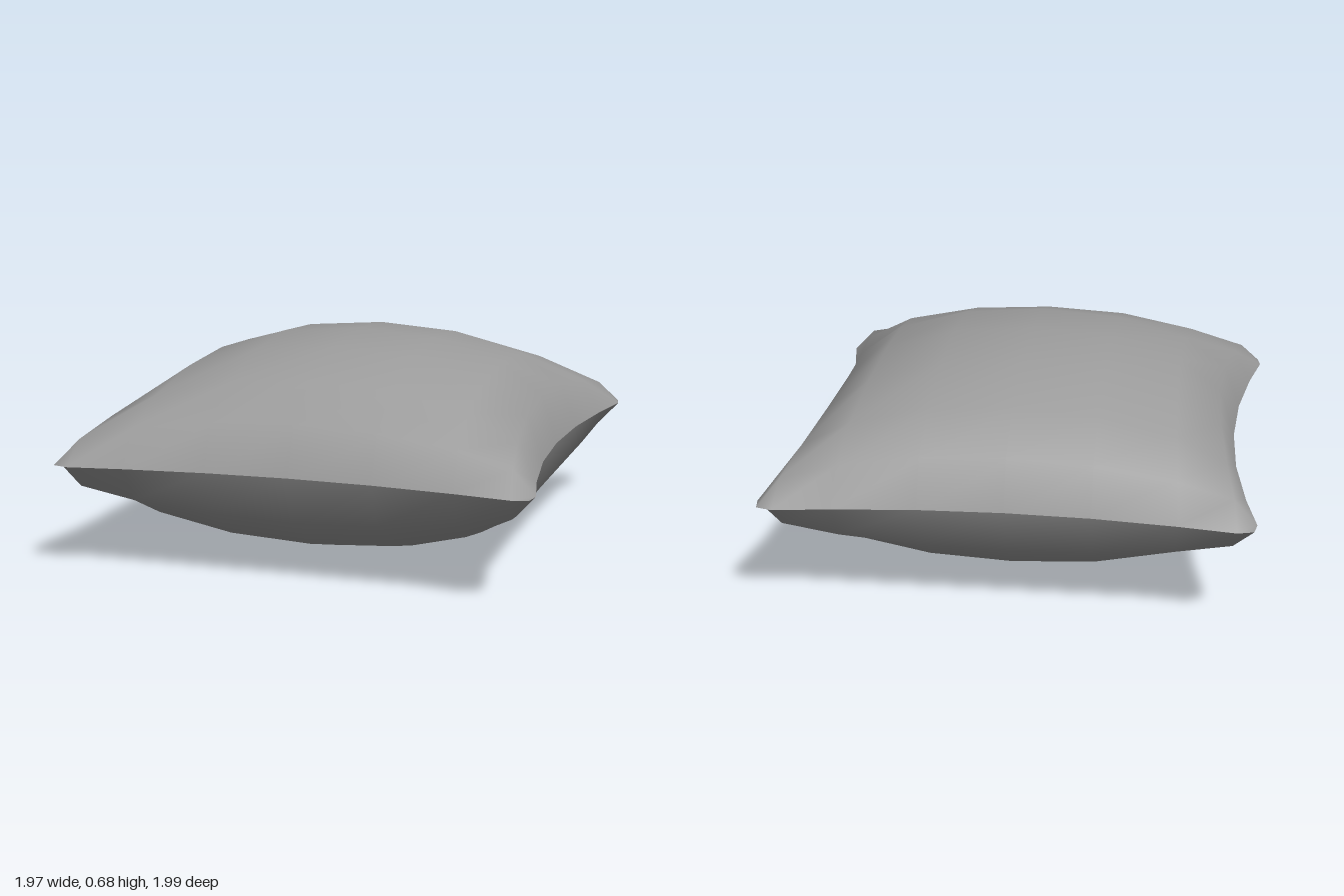
import * as THREE from 'three';

const HALF_U = 0.765, HALF_V = 0.788, HALF_HEIGHT = 0.342;
// Grid lines from the middle to the seam, closer together at the seam
const STEPS = [0, 0.34, 0.67, 0.9, 1];
const SEGMENTS = 2 * (STEPS.length - 1);

const gridLine = (t) => Math.sign(t) * STEPS[Math.round(Math.abs(t) * (STEPS.length - 1))];

// One puffed fabric panel: side = 1 for the top, -1 for the bottom
function createPanel(side) {
  const geometry = new THREE.PlaneGeometry(2, 2, SEGMENTS, SEGMENTS);
  geometry.rotateX(-side * Math.PI / 2);
  const pos = geometry.attributes.position;
  for (let i = 0; i < pos.count; i++) {
    const a = gridLine(pos.getX(i)), b = gridLine(pos.getZ(i));
    const fa = 1 - a * a, fb = 1 - b * b;
    const corner = Math.abs(a * b);
    // Edges pulled inwards between the corners, corner tips blunted
    const tip = 1 - 0.04 * corner ** 24;
    const u = HALF_U * a * tip * (1 - 0.135 * a * a * fb);
    const v = HALF_V * b * tip * (1 - 0.1 * b * b * fa);
    // Domed filling, slightly fuller in the corners
    const h = HALF_HEIGHT * (fa * fb) ** (0.5 - 0.2 * corner ** 8);
    pos.setXYZ(i, u, side * h, v);
  }
  geometry.computeVertexNormals();
  return geometry;
}

export function createModel() {
  const pillow = new THREE.Group();
  pillow.name = 'pillow';
  const material = new THREE.MeshStandardMaterial({ color: 0x9c9c9c });
  for (const [name, side] of [['topPanel', 1], ['bottomPanel', -1]]) {
    const panel = new THREE.Mesh(createPanel(side), material);
    panel.name = name;
    pillow.add(panel);
  }
  // Turned on the floor, resting on its underside
  pillow.rotation.y = 0.438;
  pillow.position.y = HALF_HEIGHT;
  const model = new THREE.Group();
  model.add(pillow);
  return model;
}
